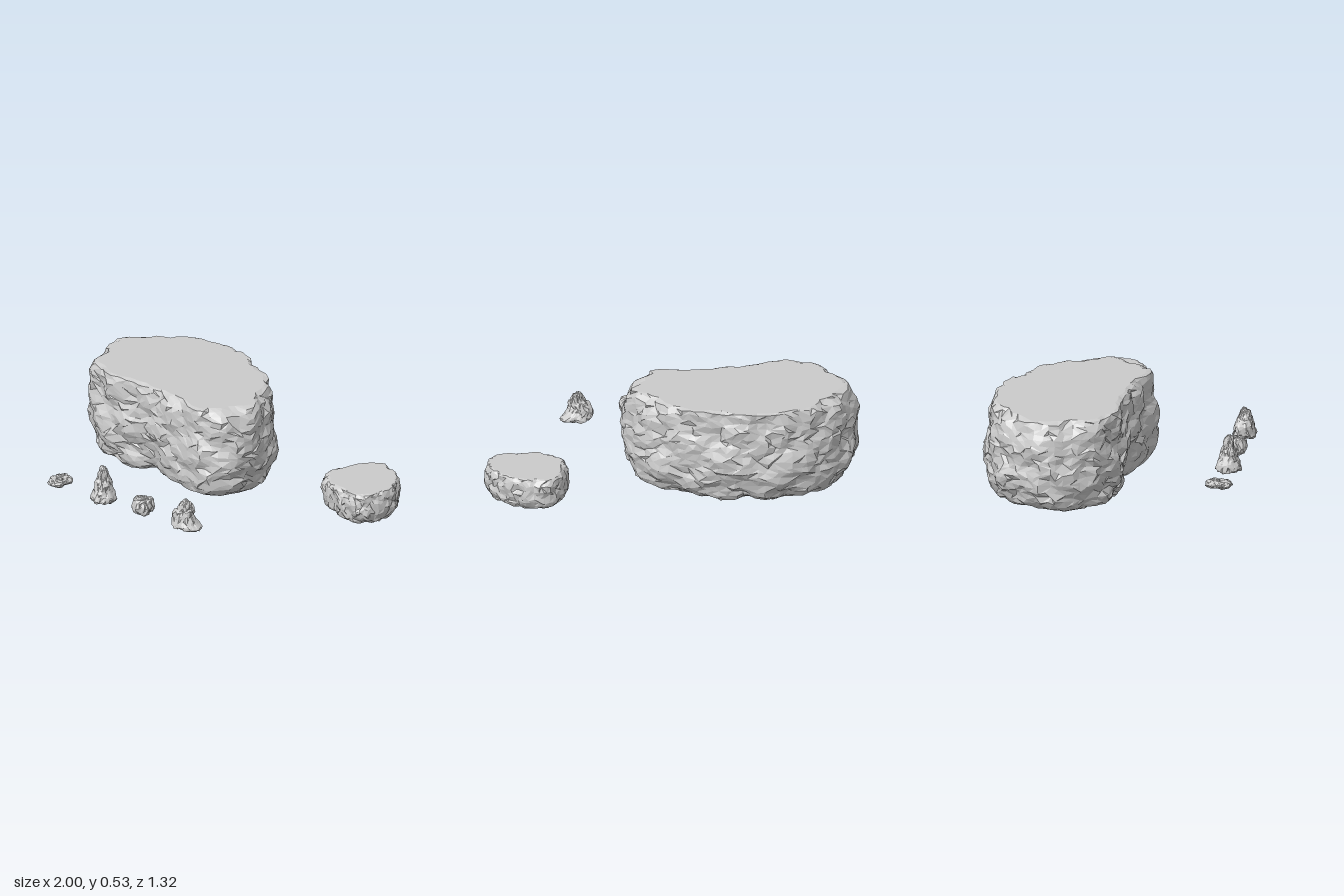
import * as THREE from 'three';

const material = new THREE.MeshStandardMaterial({ color: 0xcccccc, flatShading: true, side: THREE.DoubleSide });

// Repeatable pseudo-random value in 0..1 for a lattice cell
function hash(i, j, k, n) {
  const s = Math.sin(i * 127.1 + j * 311.7 + k * 74.7 + n * 53.3) * 43758.5453;
  return s - Math.floor(s);
}

// Tilted chips with creases between them, roughly -0.7..0.5
function chips(p, cell) {
  const q = p.clone().divideScalar(cell);
  const I = Math.floor(q.x), J = Math.floor(q.y), K = Math.floor(q.z);
  let best = -9;
  for (let i = I - 1; i <= I + 1; i++)
    for (let j = J - 1; j <= J + 1; j++)
      for (let k = K - 1; k <= K + 1; k++) {
        const dx = q.x - i - hash(i, j, k, 1), dy = q.y - j - hash(i, j, k, 2), dz = q.z - k - hash(i, j, k, 3);
        const tilt = (hash(i, j, k, 5) - 0.5) * dx + (hash(i, j, k, 6) - 0.5) * dy + (hash(i, j, k, 7) - 0.5) * dz;
        best = Math.max(best, hash(i, j, k, 4) * 0.5 - 1.3 * (dx * dx + dy * dy + dz * dz) + tilt);
      }
  return THREE.MathUtils.clamp(best, -0.7, 0.3) + 0.1;
}

// Stone from a plan outline [x, z] and a profile [y, scale, shiftX] from base to top
function rock(name, { outline, profile, centre, cell, amp, segs, rings, flatTop = false }) {
  const plan = new THREE.CatmullRomCurve3(outline.map(([x, z]) => new THREE.Vector3(x, 0, z)), true)
    .getSpacedPoints(segs).slice(0, segs);
  const side = new THREE.CatmullRomCurve3(profile.map(([y, s, dx = 0]) => new THREE.Vector3(s * 0.5, y, dx)), false, 'centripetal')
    .getSpacedPoints(rings);
  const top = profile[profile.length - 1][0];
  const midY = (profile[0][0] + top) / 2;
  const pos = [], index = [];
  side.forEach((ring, j) => {
    plan.forEach((point, i) => {
      // Slide points along and across the rings so the facets are irregular
      const inner = j > 0 && j < rings;
      const o = point.clone().lerp(plan[(i + 1) % segs], inner ? hash(i, j, 0, 8) * 0.75 : 0.4);
      const r = inner ? ring.clone().lerp(side[j + 1], (hash(i, j, 0, 9) - 0.5) * 0.75) : ring;
      const p = new THREE.Vector3(
        centre[0] + (o.x - centre[0]) * r.x * 2 + r.z, r.y, centre[1] + (o.z - centre[1]) * r.x * 2);
      const out = new THREE.Vector3(p.x - centre[0] - r.z, (p.y - midY) * 0.8, p.z - centre[1]).normalize();
      if (r.x > 0.001) p.addScaledVector(out, (chips(p, cell) + (hash(i, j, 0, 10) - 0.5) * 0.3) * amp);
      if (flatTop && (j === rings || p.y > top)) p.y = top;
      pos.push(p.x, Math.max(p.y, 0), p.z);
    });
  });
  for (let j = 0; j < rings; j++)
    for (let i = 0; i < segs; i++) {
      const a = j * segs + i, c = j * segs + (i + 1) % segs, b = a + segs, d = c + segs;
      if (hash(i, j, 0, 11) > 0.5) index.push(a, b, c, c, b, d);
      else index.push(a, b, d, a, d, c);
    }
  // Cap over the last ring
  const last = rings * segs;
  pos.push(centre[0] + side[rings].z, top, centre[1]);
  for (let i = 0; i < segs; i++) index.push(last + i, last + segs, last + (i + 1) % segs);
  const geo = new THREE.BufferGeometry();
  geo.setAttribute('position', new THREE.Float32BufferAttribute(pos, 3));
  geo.setIndex(index);
  geo.computeVertexNormals();
  const mesh = new THREE.Mesh(geo, material);
  mesh.name = name;
  return mesh;
}

// Rounded-square plan: power 1 is an ellipse, smaller is boxier
function oval(x, z, rx, rz, power) {
  const bend = (v) => Math.sign(v) * Math.abs(v) ** power;
  return Array.from({ length: 16 }, (_, i) => {
    const t = (i / 16) * Math.PI * 2;
    return [x - rx * bend(Math.cos(t)), z - rz * bend(Math.sin(t))];
  });
}

// Small knobbly stone
function smallRock(name, x, z, rx, rz, power, profile) {
  return rock(name, {
    outline: oval(x, z, rx, rz, power), profile, centre: [x, z], cell: 0.03, amp: 0.017, segs: 32, rings: 24,
  });
}

export function createModel() {
  const group = new THREE.Group();
  group.name = 'rockSet';

  // Large flat-topped boulder
  group.add(rock('largeBoulder', {
    outline: [[-0.995, -0.28], [-0.92, -0.47], [-0.8, -0.565], [-0.67, -0.62], [-0.5, -0.645], [-0.34, -0.615],
      [-0.13, -0.525], [0.06, -0.4], [0.16, -0.25], [0.21, -0.08], [0.17, 0.06], [0.04, 0.165], [-0.13, 0.14],
      [-0.35, 0.095], [-0.56, 0.085], [-0.72, 0.075], [-0.86, 0.005], [-0.955, -0.13]],
    profile: [[0.012, 0], [0.02, 0.5], [0.04, 0.82], [0.08, 0.93], [0.19, 1], [0.33, 0.99], [0.44, 0.965],
      [0.5, 0.94], [0.522, 0.91], [0.53, 0.86]],
    centre: [-0.4, -0.25], cell: 0.13, amp: 0.045, segs: 76, rings: 36, flatTop: true,
  }));

  // Medium flat-topped boulder
  group.add(rock('mediumBoulder', {
    outline: [[0.562, -0.21], [0.6, -0.34], [0.665, -0.43], [0.745, -0.475], [0.87, -0.42], [0.945, -0.34],
      [0.992, -0.235], [0.975, -0.12], [0.925, -0.035], [0.83, -0.04], [0.7, -0.07], [0.6, -0.13]],
    profile: [[0.062, 0], [0.065, 0.6], [0.078, 0.87], [0.11, 0.97], [0.17, 1], [0.215, 0.97], [0.234, 0.92], [0.238, 0.87]],
    centre: [0.78, -0.24], cell: 0.06, amp: 0.022, segs: 64, rings: 28, flatTop: true,
  }));

  // Row of four small stones along the front
  group.add(smallRock('flatPebble', -0.58, 0.58, 0.053, 0.072, 0.9,
    [[0.1, 0], [0.103, 0.5], [0.112, 0.88], [0.122, 0.98], [0.134, 0.88], [0.143, 0.5], [0.146, 0]]));
  group.add(smallRock('stackedSpire', -0.285, 0.585, 0.068, 0.068, 1,
    [[0.097, 0], [0.099, 0.85], [0.108, 1], [0.135, 0.9], [0.165, 0.74], [0.195, 0.62], [0.222, 0.46],
      [0.238, 0.36], [0.26, 0.42], [0.277, 0.3], [0.286, 0]]));
  group.add(smallRock('roundPebble', -0.017, 0.585, 0.051, 0.05, 0.75,
    [[0.097, 0], [0.1, 0.55], [0.115, 0.9], [0.143, 1], [0.172, 0.88], [0.187, 0.5], [0.19, 0]]));
  group.add(smallRock('leaningMound', 0.27, 0.583, 0.08, 0.06, 0.8,
    [[0.097, 0], [0.098, 0.85, 0.005], [0.107, 1.02, 0.006], [0.125, 0.93, -0.006], [0.16, 0.8, -0.018],
      [0.185, 0.66, -0.01], [0.21, 0.48, -0.002], [0.235, 0.38, -0.002], [0.247, 0.18, -0.003], [0.25, 0, -0.003]]));

  return group;
}
